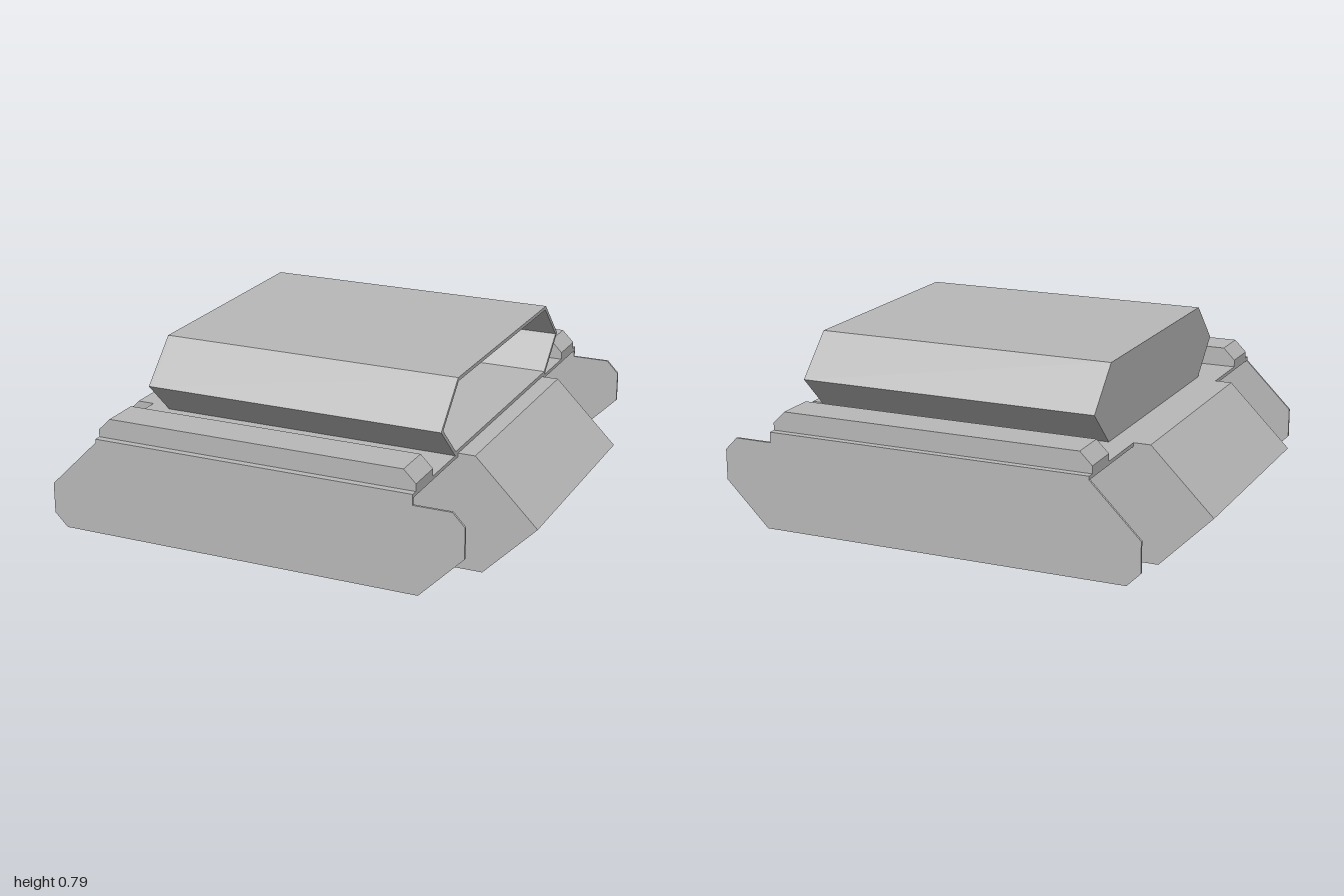
import * as THREE from 'three';

export function createModel() {
  const root = new THREE.Group();
  const grey = new THREE.MeshStandardMaterial({ color: 0xb8b8b8 });
  grey.name = 'plain grey';

  const toPoints = (list) => list.map(([x, y]) => new THREE.Vector2(x, y));
  const add = (geometry, name) => {
    const mesh = new THREE.Mesh(geometry, grey);
    mesh.name = name;
    root.add(mesh);
    return mesh;
  };
  // Extrudes a side profile from z0 to z1, with optional holes
  const slab = (profile, z0, z1, holes = []) => {
    const shape = new THREE.Shape(toPoints(profile));
    shape.holes.push(...holes);
    return new THREE.ExtrudeGeometry(shape, {
      depth: z1 - z0, bevelEnabled: false, curveSegments: 16,
    }).translate(0, 0, z0);
  };

  // Hull: long hexagonal prism with three axle bores right through it
  const bores = [-0.7, 0, 0.7].map((x) => {
    const hole = new THREE.Path();
    hole.absarc(x, 0.12, 0.05, 0, Math.PI * 2, true);
    return hole;
  });
  add(slab([[-0.78, 0], [0.78, 0], [1, 0.22], [0.74, 0.48], [-0.74, 0.48], [-1, 0.22]],
    -0.49, 0.49, bores), 'hull');

  // Fenders, storage boxes and side skirts, mirrored front and back
  const boxProfile = [[-0.67, 0.48], [0.67, 0.48], [0.67, 0.51], [0.62, 0.56], [-0.62, 0.56], [-0.67, 0.51]];
  const skirtProfile = [
    [-0.82, 0.08], [0.695, 0.08], [0.875, 0.26], [0.875, 0.385], [0.825, 0.437],
    [0.67, 0.437], [0.67, 0.48], [-0.67, 0.48], [-0.67, 0.465], [-0.875, 0.26], [-0.875, 0.135],
  ];
  for (const [side, s] of [['front', 1], ['back', -1]]) {
    const place = (profile, a, b) => slab(profile, Math.min(a * s, b * s), Math.max(a * s, b * s));
    add(new THREE.BoxGeometry(1.34, 0.015, 0.438).translate(0, 0.4725, s * 0.709), side + 'Fender');
    add(place(boxProfile, 0.745, 0.908), side + 'FenderBox');
    add(place(skirtProfile, 0.928, 0.938), side + 'Skirt');
  }

  // Turret: hollow hexagonal shell, open at +x and closed at -x
  const outer = [[-0.52, 0.48], [0.52, 0.48], [0.67, 0.625], [0.505, 0.79], [-0.505, 0.79], [-0.67, 0.625]];
  const inner = [[-0.514, 0.495], [0.514, 0.495], [0.649, 0.625], [0.499, 0.775], [-0.499, 0.775], [-0.649, 0.625]];
  const opening = new THREE.Path(toPoints(inner).reverse());
  add(slab(outer, -0.565, 0.67, [opening]).rotateY(Math.PI / 2), 'turretShell');
  add(slab(outer, -0.58, -0.565).rotateY(Math.PI / 2), 'turretEndWall');

  return root;
}
